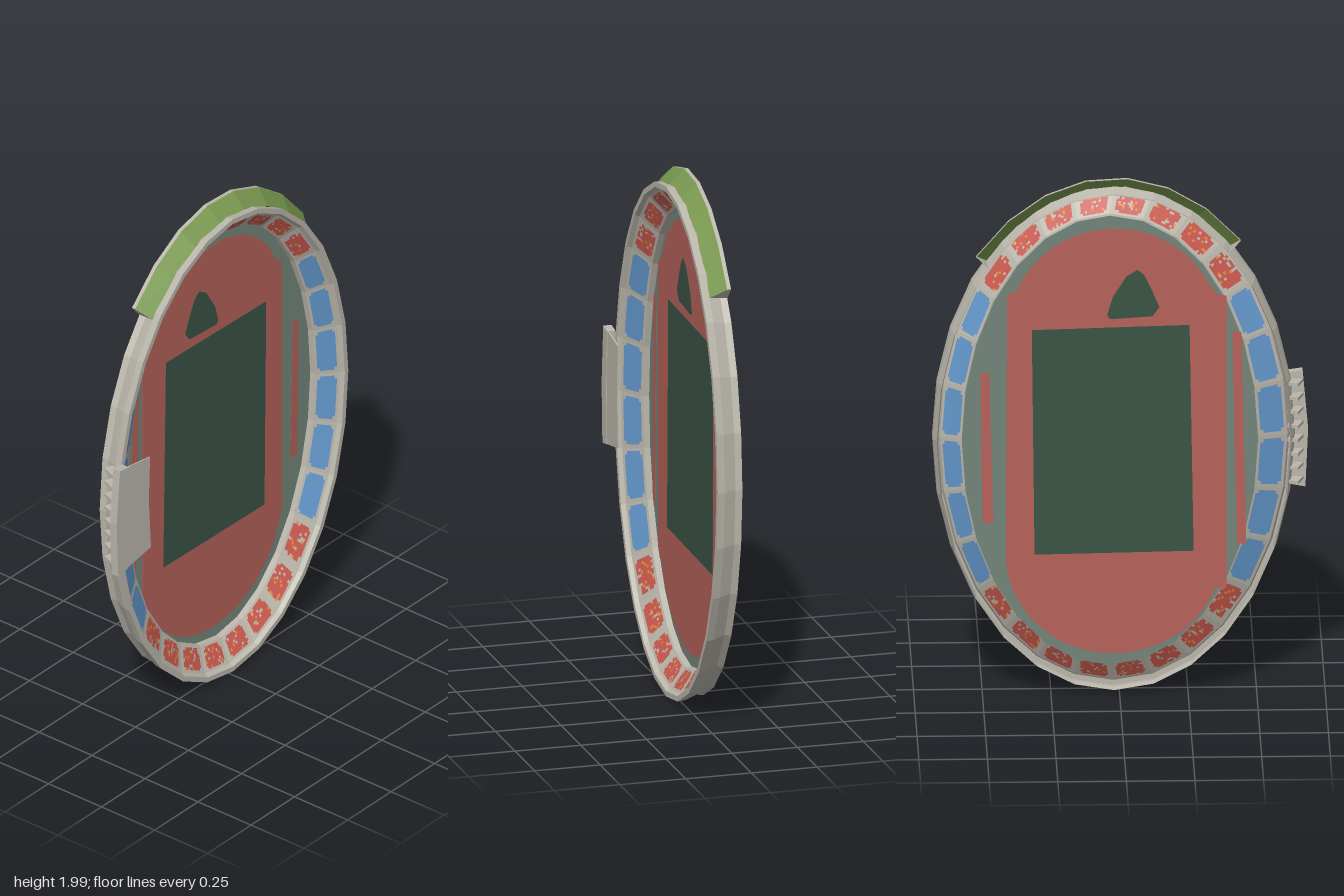
import * as THREE from 'three';

const mat = (name, color) => new THREE.MeshStandardMaterial({ name, color, side: THREE.DoubleSide });
const SEGMENTS = 28;
const STEP = (Math.PI * 2) / SEGMENTS;

// Elliptical outline at depth z: centre, radii
const row = (cx, cy, rx, ry, z) => ({ cx, cy, rx, ry, z });
// Outline parallel to the outer rim, moved outward by d
const rim = (d, z) => row(0.02, 0.977, 0.662 + d, 0.974 + d, z);
const inner = (z) => row(0.035, 0.985, 0.54, 0.87, z);

const at = (r, a) => new THREE.Vector3(r.cx + r.rx * Math.cos(a), r.cy + r.ry * Math.sin(a), r.z);

function quad(list, a, b, c, d) {
  for (const p of [a, b, c, a, c, d]) list.push(p.x, p.y, p.z);
}

function meshFrom(list, material, name) {
  const g = new THREE.BufferGeometry();
  g.setAttribute('position', new THREE.Float32BufferAttribute(list, 3));
  g.computeVertexNormals();
  const m = new THREE.Mesh(g, material);
  m.name = name;
  return m;
}

// Faceted band through several outlines between two angles
function band(rows, material, name, from = 0, to = Math.PI * 2, n = SEGMENTS) {
  const list = [];
  for (let i = 0; i < n; i++) {
    const a = from + ((to - from) * i) / n;
    const b = from + ((to - from) * (i + 1)) / n;
    for (let k = 0; k + 1 < rows.length; k++) {
      quad(list, at(rows[k], a), at(rows[k], b), at(rows[k + 1], b), at(rows[k + 1], a));
    }
  }
  return meshFrom(list, material, name);
}

// Flat plate centred on depth z
function plate(shape, z, thickness, material, name) {
  const g = new THREE.ExtrudeGeometry(shape, { depth: thickness, bevelEnabled: false, curveSegments: 28 });
  g.translate(0, 0, z - thickness / 2);
  const m = new THREE.Mesh(g, material);
  m.name = name;
  return m;
}
const poly = (pts) => new THREE.Shape(pts.map(([x, y]) => new THREE.Vector2(x, y)));

export function createModel() {
  const group = new THREE.Group();
  group.name = 'stadium';
  const concrete = mat('concrete', 0xbbb7ac);
  const blue = mat('blueSeats', 0x6398cc);
  const red = mat('redSeats', 0xc9584e);
  const orange = mat('orangeSeats', 0xe08a3c);
  const track = mat('trackRed', 0xb5625a);
  const pitch = mat('pitchGreen', 0x3a5444);
  const turf = mat('turfGreen', 0x73857a);
  const grass = mat('bankGreen', 0x7a9a50);

  // Outer wall, front rim and the step down to the seats
  group.add(band([
    rim(-0.015, -0.065), rim(-0.02, -0.04), rim(-0.003, 0.005), rim(0, 0.033),
    rim(-0.02, 0.033), rim(-0.028, 0.016),
  ], concrete, 'outerWall'));
  group.add(band([inner(-0.06), inner(-0.036)], concrete, 'innerWall'));

  // Seating bowl: each segment is a fine grid, concrete at its margins
  let seed = 7;
  const rand = () => (seed = (seed * 16807) % 2147483647) / 2147483647;
  const lists = { concrete: [], blue: [], red: [], orange: [] };
  const lo = inner(-0.036), hi = rim(-0.028, 0.016);
  const cols = 16, rows = 10;
  for (let s = 0; s < SEGMENTS; s++) {
    const side = s < 3 || s >= 25 || (s >= 11 && s < 17);
    const A0 = at(lo, s * STEP), A1 = at(lo, (s + 1) * STEP);
    const B0 = at(hi, s * STEP), B1 = at(hi, (s + 1) * STEP);
    const p = (i, j) => A0.clone().lerp(A1, i / cols).lerp(B0.clone().lerp(B1, i / cols), j / rows);
    for (let i = 0; i < cols; i++) {
      for (let j = 0; j < rows; j++) {
        const margin = side ? 1 : 2;
        const edge = i < margin || i >= cols - margin || j < 1 || j >= rows - 1;
        const corner = (i === margin || i === cols - 1 - margin) && (j === 1 || j === rows - 2);
        let kind = edge || corner ? 'concrete' : side ? 'blue' : 'red';
        if (kind === 'red') {
          const t = rand();
          if (t < 0.06) kind = 'orange';
          else if (t < 0.17) kind = 'concrete';
        }
        quad(lists[kind], p(i, j), p(i + 1, j), p(i + 1, j + 1), p(i, j + 1));
      }
    }
  }
  group.add(meshFrom(lists.concrete, concrete, 'terraces'));
  group.add(meshFrom(lists.blue, blue, 'blueSeats'));
  group.add(meshFrom(lists.red, red, 'redSeats'));
  group.add(meshFrom(lists.orange, orange, 'orangeSeats'));

  // Turf floor, seen from both sides
  const Z = -0.06;
  const floor = [];
  for (let i = 0; i < SEGMENTS; i++) {
    const v = at(inner(Z), i * STEP);
    floor.push([v.x, v.y]);
  }
  group.add(plate(poly(floor), Z, 0.002, turf, 'turf'));

  // Running track with rounded ends
  const t = new THREE.Shape();
  t.moveTo(-0.39, 0.41);
  t.lineTo(-0.355, 0.41);
  t.absellipse(0.02, 0.55, 0.395, 0.39, Math.PI * 1.11, Math.PI * 2, false);
  t.lineTo(0.41, 1.55);
  t.lineTo(0.375, 1.57);
  t.absellipse(0.02, 1.43, 0.38, 0.375, Math.PI * 0.12, Math.PI * 0.85, false);
  t.lineTo(-0.355, 1.55);
  t.lineTo(-0.39, 1.54);
  group.add(plate(t, Z, 0.004, track, 'track'));

  // Side runways
  group.add(plate(poly([[-0.445, 1.4], [-0.41, 1.4], [-0.428, 0.58], [-0.462, 0.58]]), Z, 0.004, track, 'runway'));
  group.add(plate(poly([[0.475, 1.25], [0.508, 1.25], [0.5, 0.67], [0.46, 0.67]]), Z, 0.004, track, 'runway'));

  // Playing field and the small field at the end
  group.add(plate(poly([[-0.255, 1.43], [0.32, 1.415], [0.31, 0.545], [-0.27, 0.555]]), Z, 0.006, pitch, 'pitch'));
  group.add(plate(poly([
    [-0.065, 1.645], [-0.025, 1.62], [0.025, 1.54], [0.045, 1.47], [0.035, 1.455],
    [-0.12, 1.465], [-0.145, 1.5], [-0.12, 1.56], [-0.09, 1.625],
  ]), Z, 0.006, pitch, 'smallField'));

  // Grass bank along the top, with its edge and end caps
  const a0 = 0.25 * Math.PI, a1 = 0.725 * Math.PI;
  const foot = rim(-0.005, 0.005), crest = rim(0.049, -0.05), back = rim(0.049, -0.065);
  group.add(band([foot, crest], grass, 'grassBank', a0, a1, 7));
  group.add(band([crest, back], concrete, 'bankEdge', a0, a1, 7));
  const caps = [];
  for (const a of [a0, a1]) quad(caps, at(foot, a), at(crest, a), at(back, a), at(rim(-0.015, -0.065), a));
  group.add(meshFrom(caps, concrete, 'bankEnds'));

  // Stand roof over the right side
  group.add(plate(poly([
    [-0.67, 1.215], [-0.495, 1.19], [-0.502, 1.0], [-0.49, 0.8], [-0.68, 0.765], [-0.69, 0.99],
  ]), 0.062, 0.005, concrete, 'standRoof'));
  group.add(plate(poly([
    [-0.67, 1.215], [-0.62, 1.208], [-0.632, 0.99], [-0.625, 0.775], [-0.68, 0.765], [-0.69, 0.99],
  ]), 0.051, 0.032, concrete, 'standBox'));

  // Ribs carrying the stand
  for (let i = 0; i < 8; i++) {
    const rib = new THREE.Mesh(new THREE.BoxGeometry(0.04, 0.012, 0.06), concrete);
    rib.name = 'standRib';
    rib.position.set(-0.643, 0.8 + i * 0.054, 0.012);
    rib.rotation.y = -0.35;
    group.add(rib);
  }
  return group;
}
